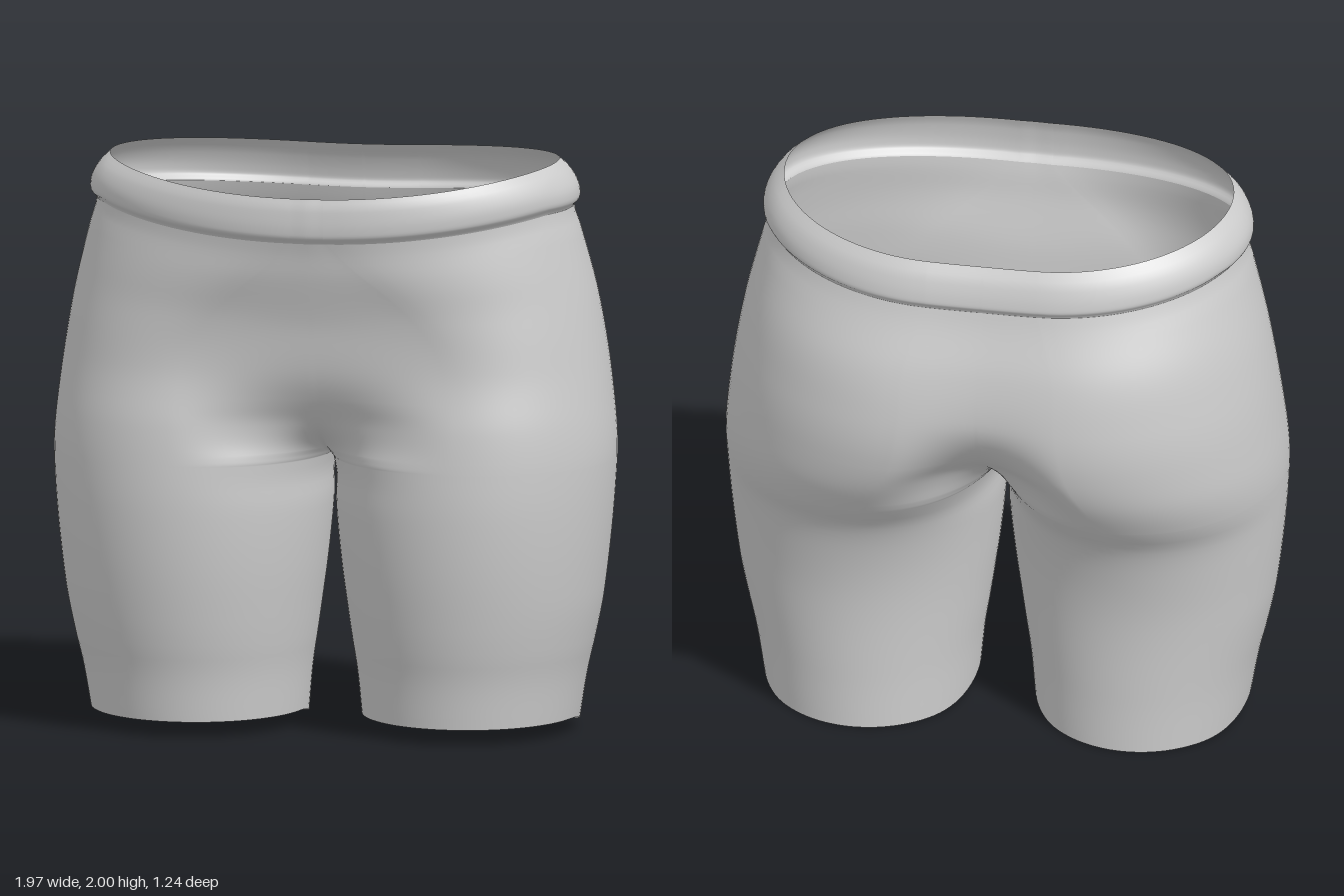
import * as THREE from 'three';
import { mergeVertices } from 'three/addons/utils/BufferGeometryUtils.js';

const { lerp, clamp, smoothstep } = THREE.MathUtils;
const CROTCH = 0.96;
const BAND = 1.84;

// Smooth curve through [height, value] pairs
function profile(pts) {
  const slope = (i) => {
    const a = pts[Math.max(i - 1, 0)], b = pts[Math.min(i + 1, pts.length - 1)];
    return (b[1] - a[1]) / (b[0] - a[0]);
  };
  return (y) => {
    if (y <= pts[0][0]) return pts[0][1];
    if (y >= pts[pts.length - 1][0]) return pts[pts.length - 1][1];
    let i = 0;
    while (y > pts[i + 1][0]) i++;
    const [y0, v0] = pts[i], [y1, v1] = pts[i + 1];
    const d = y1 - y0, t = (y - y0) / d, t2 = t * t, t3 = t2 * t;
    return v0 * (2 * t3 - 3 * t2 + 1) + v1 * (3 * t2 - 2 * t3)
      + d * (slope(i) * (t3 - 2 * t2 + t) + slope(i + 1) * (t3 - t2));
  };
}

// Outer side, inner thigh and depth of the widest point
const outerX = profile([[0, 0.855], [0.2, 0.885], [0.5, 0.945], [0.95, 0.985], [1.2, 0.967],
  [1.5, 0.92], [1.75, 0.86], [1.84, 0.835], [1.865, 0.855], [1.91, 0.853], [1.96, 0.825], [2, 0.785]]);
const innerX = profile([[0, 0.1], [0.2, 0.083], [0.4, 0.055], [0.6, 0.028], [0.8, 0.01],
  [0.9, 0.012], [CROTCH, 0]]);
const midZ = profile([[0, 0.055], [0.9, 0.05], [1.4, 0.03], [2, 0.07]]);

// Front and back: x and z of the fullest line, and z of the centre seam
const front = {
  x: profile([[0, 0.48], [0.9, 0.5], [1.2, 0.5], [1.4, 0.45], [1.6, 0.3], [1.75, 0.15], [1.85, 0.06]]),
  z: profile([[0, 0.47], [0.2, 0.49], [0.4, 0.525], [0.6, 0.55], [0.8, 0.56], [0.95, 0.555], [1.1, 0.54],
    [1.3, 0.507], [1.5, 0.517], [1.7, 0.56], [1.84, 0.588], [1.865, 0.614], [1.96, 0.614], [2, 0.602]]),
  seam: profile([[CROTCH, 0.05], [0.965, 0.11], [0.98, 0.17], [1, 0.23], [1.05, 0.33], [1.1, 0.39],
    [1.2, 0.455], [1.3, 0.492], [1.5, 0.52], [1.7, 0.562], [1.84, 0.59], [1.865, 0.616], [1.96, 0.616], [2, 0.604]]),
};
const back = {
  x: profile([[0, 0.48], [0.6, 0.5], [0.8, 0.48], [1, 0.42], [1.2, 0.32], [1.4, 0.28], [1.6, 0.27], [1.85, 0.2]]),
  z: profile([[0, -0.36], [0.2, -0.355], [0.5, -0.358], [0.7, -0.385], [0.85, -0.43], [0.95, -0.5], [1.1, -0.58],
    [1.25, -0.615], [1.4, -0.612], [1.6, -0.572], [1.84, -0.485], [1.865, -0.5], [1.95, -0.475], [2, -0.44]]),
  seam: profile([[CROTCH, 0.05], [0.965, -0.03], [0.98, -0.1], [1, -0.17], [1.05, -0.28], [1.1, -0.36],
    [1.2, -0.49], [1.3, -0.567], [1.4, -0.592], [1.6, -0.562], [1.84, -0.483], [1.865, -0.498], [1.95, -0.473], [2, -0.438]]),
};

// Inner part of a section: k runs from the centre seam (0) to the fullest line (1)
function innerPoint(side, k, y) {
  const cx = side.x(y), zm = midZ(y), rz = side.z(y) - zm;
  if (y <= CROTCH) {
    const a = k * Math.PI / 2;
    return [cx - (cx - innerX(y)) * Math.cos(a), zm + rz * Math.sin(a)];
  }
  const seam = side.seam(y);
  const a0 = Math.asin(clamp((seam - zm) / rz, 0, 0.97));
  const a = lerp(a0, Math.PI / 2, k);
  const x = cx * (1 - Math.cos(a) / Math.cos(a0));
  const hump = lerp(seam, zm + rz, smoothstep(x / cx, 0, 1));
  return [x, lerp(zm + rz * Math.sin(a), hump, smoothstep(y, CROTCH, 1.15))];
}

// Outer part: k runs from the fullest line (0) to the side (1)
function outerPoint(side, k, y) {
  const a = k * Math.PI / 2, cx = side.x(y), zm = midZ(y);
  return [cx + (outerX(y) - cx) * Math.sin(a), zm + (side.z(y) - zm) * Math.cos(a)];
}

// One half section, front seam -> side -> back seam
function sectionPoint(u, y) {
  const q = Math.min(Math.floor(u * 4), 3), k = u * 4 - q;
  const [x, z] = q === 0 ? innerPoint(front, k, y)
    : q === 1 ? outerPoint(front, k, y)
    : q === 2 ? outerPoint(back, 1 - k, y)
    : innerPoint(back, 1 - k, y);
  // Hem rises at the front, waist dips at the middle
  const hem = 0.055 * smoothstep(z, -0.25, 0.15) * Math.max(0, 1 - y / 0.3);
  const dip = lerp(0.045, 0.072, smoothstep(z, -0.4, 0.5)) * Math.max(0, 1 - (x / 0.785) ** 2);
  return [x, y + hem - dip * smoothstep(y, 1.3, BAND), z];
}

// Mirrored halves welded along the centre
function loft(rows, columns) {
  const pos = [], index = [], n = columns + 1;
  for (const s of [1, -1]) {
    const base = pos.length / 3;
    rows.forEach((y, j) => {
      for (let i = 0; i <= columns; i++) {
        const [x, py, z] = sectionPoint(i / columns, y);
        pos.push(s * x, py, z);
        if (!j || !i) continue;
        const d = base + j * n + i, c = d - 1, b = d - n, a = b - 1;
        if (s > 0) index.push(a, b, d, a, d, c);
        else index.push(a, d, b, a, c, d);
      }
    });
  }
  const g = new THREE.BufferGeometry();
  g.setAttribute('position', new THREE.Float32BufferAttribute(pos, 3));
  g.setIndex(index);
  const welded = mergeVertices(g, 1e-5);
  welded.computeVertexNormals();
  return welded;
}

const range = (a, b, n) => Array.from({ length: n }, (_, i) => a + (b - a) * i / n);

export function createModel() {
  const group = new THREE.Group();
  group.name = 'shorts';
  const material = new THREE.MeshStandardMaterial({ color: 0xcccccc, side: THREE.DoubleSide });
  const add = (name, rows) => {
    const mesh = new THREE.Mesh(loft(rows, 96), material);
    mesh.name = name;
    group.add(mesh);
  };

  // Legs and seat, with rows packed closer above the crotch
  add('legsAndSeat', [...range(0, CROTCH, 32), ...range(CROTCH, 1, 10), ...range(1, 1.2, 14),
    ...range(1.2, BAND, 24), BAND]);
  // Waistband
  add('waistband', [...range(BAND, 1.88, 6), ...range(1.88, 2, 8), 2]);
  return group;
}
